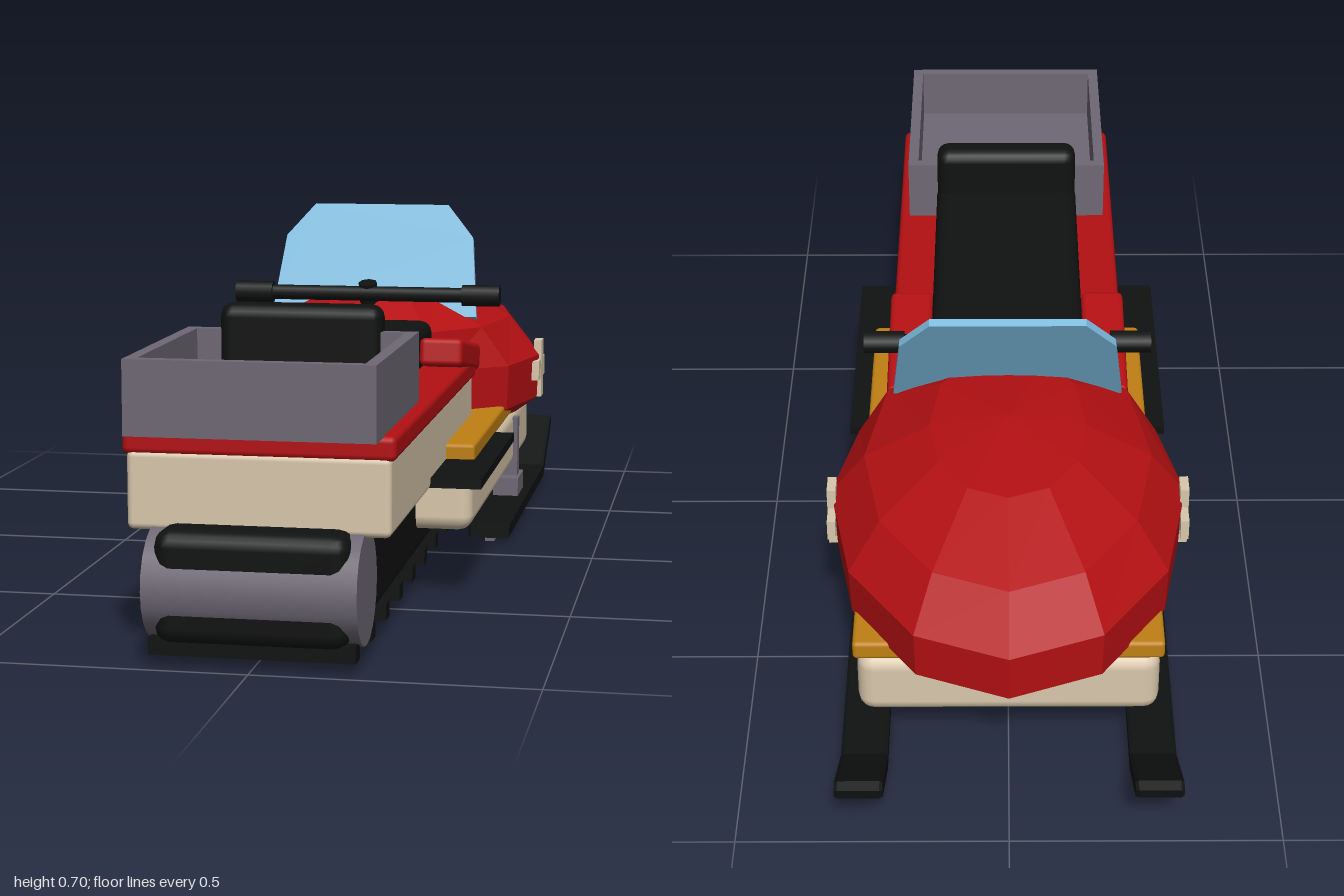
import * as THREE from 'three';
import { RoundedBoxGeometry } from 'three/addons/geometries/RoundedBoxGeometry.js';

const mat = (name, color) => {
  const m = new THREE.MeshStandardMaterial({ color });
  m.name = name;
  return m;
};

export function createModel() {
  const red = mat('red', 0xb41013), cream = mat('cream', 0xd9c8ac), orange = mat('orange', 0xc08014);
  const grey = mat('grey', 0x6e6874), black = mat('black', 0x101111), blue = mat('blue', 0x7ab9dc);
  const root = new THREE.Group();
  root.name = 'snowmobile';

  const add = (name, geo, material, parent = root) => {
    const m = new THREE.Mesh(geo, material);
    m.name = name;
    parent.add(m);
    return m;
  };
  // Box given by its extents on each axis; r > 0 rounds the edges
  const box = (name, material, [x0, x1], [y0, y1], [z0, z1], r = 0, parent = root) => {
    const s = [x1 - x0, y1 - y0, z1 - z0];
    const m = add(name, r ? new RoundedBoxGeometry(...s, 2, r) : new THREE.BoxGeometry(...s), material, parent);
    m.position.set((x0 + x1) / 2, (y0 + y1) / 2, (z0 + z1) / 2);
    return m;
  };
  const rod = (name, material, r, length, sides, x, y, z) => {
    const m = add(name, new THREE.CylinderGeometry(r, r, length, sides).rotateZ(Math.PI / 2), material);
    m.position.set(x, y, z);
    return m;
  };
  const polygon = (pts) => new THREE.Shape(pts.map(([x, y]) => new THREE.Vector2(x, y)));

  // Body
  box('rearBody', cream, [-0.232, 0.232], [0.225, 0.365], [-0.12, 0.92], 0.012);
  box('deck', red, [-0.24, 0.24], [0.357, 0.402], [-0.12, 0.92], 0.012);
  box('bellyPan', cream, [-0.282, 0.282], [0.1, 0.235], [-0.77, 0.26], 0.03);
  box('bumperBoard', orange, [-0.288, 0.288], [0.24, 0.278], [-0.775, 0.265], 0.008);

  // Faceted cowl from rings: height, half width, nose z, rear z
  const rings = [
    [0.235, 0.29, -0.84, -0.17], [0.27, 0.338, -0.912, -0.09], [0.365, 0.342, -0.915, -0.09],
    [0.45, 0.275, -0.83, -0.06], [0.52, 0.15, -0.65, -0.19],
  ];
  const N = 12, mid = -0.43, pos = [], idx = [];
  for (const [y, w, nose, rear] of rings) {
    for (let i = 0; i < N; i++) {
      const a = (i / N) * Math.PI * 2, c = Math.cos(a);
      pos.push(w * Math.sin(a), y, mid + (c > 0 ? c ** 0.8 * (rear - mid) : c * (mid - nose)));
    }
  }
  const top = rings.length * N, bottom = top + 1;
  pos.push(0, 0.545, mid, 0, 0.235, mid);
  for (let i = 0; i < N; i++) {
    const j = (i + 1) % N;
    for (let k = 0; k < rings.length - 1; k++) {
      const a = k * N + i, b = k * N + j;
      idx.push(a, b, b + N, a, b + N, a + N);
    }
    idx.push(top - N + i, top - N + j, top, j, i, bottom);
  }
  let cowl = new THREE.BufferGeometry();
  cowl.setAttribute('position', new THREE.Float32BufferAttribute(pos, 3));
  cowl.setIndex(idx);
  cowl = cowl.toNonIndexed();
  cowl.computeVertexNormals();
  add('cowl', cowl, red);

  // Windshield leaning towards the nose
  const glass = polygon([[-0.225, 0], [0.225, 0], [0.207, 0.183], [0.148, 0.258], [-0.148, 0.258], [-0.207, 0.183]]);
  const shield = add('windshield', new THREE.ExtrudeGeometry(glass, { depth: 0.016, bevelEnabled: false }), blue);
  shield.position.set(0, 0.463, -0.245);
  shield.rotation.x = -0.438;

  // Seat and backrest
  box('seat', black, [-0.155, 0.155], [0.385, 0.482], [-0.075, 0.56], 0.025);
  box('backrest', black, [-0.153, 0.153], [0.4, 0.58], [0.495, 0.565], 0.025);

  // Open cargo tray
  const tray = new THREE.Group();
  tray.name = 'cargoTray';
  root.add(tray);
  box('trayFloor', grey, [-0.21, 0.21], [0.4, 0.425], [0.54, 0.975], 0, tray);
  for (const s of [-1, 1]) {
    const side = box('traySide', grey, [-0.011, 0.011], [0.4, 0.532], [0.53, 0.985], 0, tray);
    side.position.x = s * 0.207;
  }
  for (const z of [0.53, 0.963]) box('trayEnd', grey, [-0.2, 0.2], [0.4, 0.532], [z, z + 0.022], 0, tray);

  // Handlebar
  rod('handlebar', black, 0.016, 0.46, 10, 0, 0.525, -0.155);
  const stem = add('steeringStem', new THREE.CylinderGeometry(0.02, 0.02, 0.1, 8), black);
  stem.position.set(0, 0.5, -0.175);
  stem.rotation.x = 0.3;

  // Track, wheels and treads
  box('track', black, [-0.171, 0.171], [0.04, 0.24], [-0.17, 0.99], 0.03);
  for (const z of [0.9, -0.083]) {
    rod('trackWheel', grey, 0.1, 0.374, 20, 0, 0.135, z);
  }
  for (let i = 0; i < 8; i++) {
    const z = 0.955 - i * 0.153;
    box('tread', black, [-0.181, 0.181], [0.02, 0.05], [z - 0.02, z + 0.02]);
  }

  // Ski side profile as (z, y)
  const skiShape = polygon([[-0.11, 0.015], [-0.11, 0.04], [-0.82, 0.04], [-0.985, 0.135], [-1, 0.13], [-0.998, 0.113], [-0.83, 0.015]]);
  const skiGeo = new THREE.ExtrudeGeometry(skiShape, {
    depth: 0.076, bevelThickness: 0.006, bevelSize: 0.003, bevelSegments: 1,
  }).rotateY(-Math.PI / 2).translate(0.038, 0, 0);

  for (const s of [-1, 1]) {
    const span = (a, b) => (s > 0 ? [a, b] : [-b, -a]);
    box('runningBoard', black, span(0.2, 0.328), [0.23, 0.248], [-0.065, 0.475]);
    const wing = box('kneePanel', red, span(0.155, 0.243), [0.388, 0.445], [-0.17, 0.125], 0.012);
    wing.rotation.x = -0.16;
    rod('grip', black, 0.023, 0.08, 10, s * 0.245, 0.525, -0.155);

    // Ski assembly
    add('ski', skiGeo, black).position.x = s * 0.271;
    box('skiKeel', grey, span(0.261, 0.281), [0, 0.02], [-0.77, -0.13]);
    box('skiMount', grey, span(0.242, 0.298), [0.038, 0.083], [-0.53, -0.42]);
    box('skiStrut', grey, span(0.252, 0.292), [0.08, 0.215], [-0.492, -0.458]);

    // Side cross badge
    box('crossUpright', cream, span(0.33, 0.347), [0.27, 0.397], [-0.472, -0.428]);
    box('crossBar', cream, span(0.33, 0.346), [0.312, 0.355], [-0.514, -0.386]);
  }
  return root;
}
